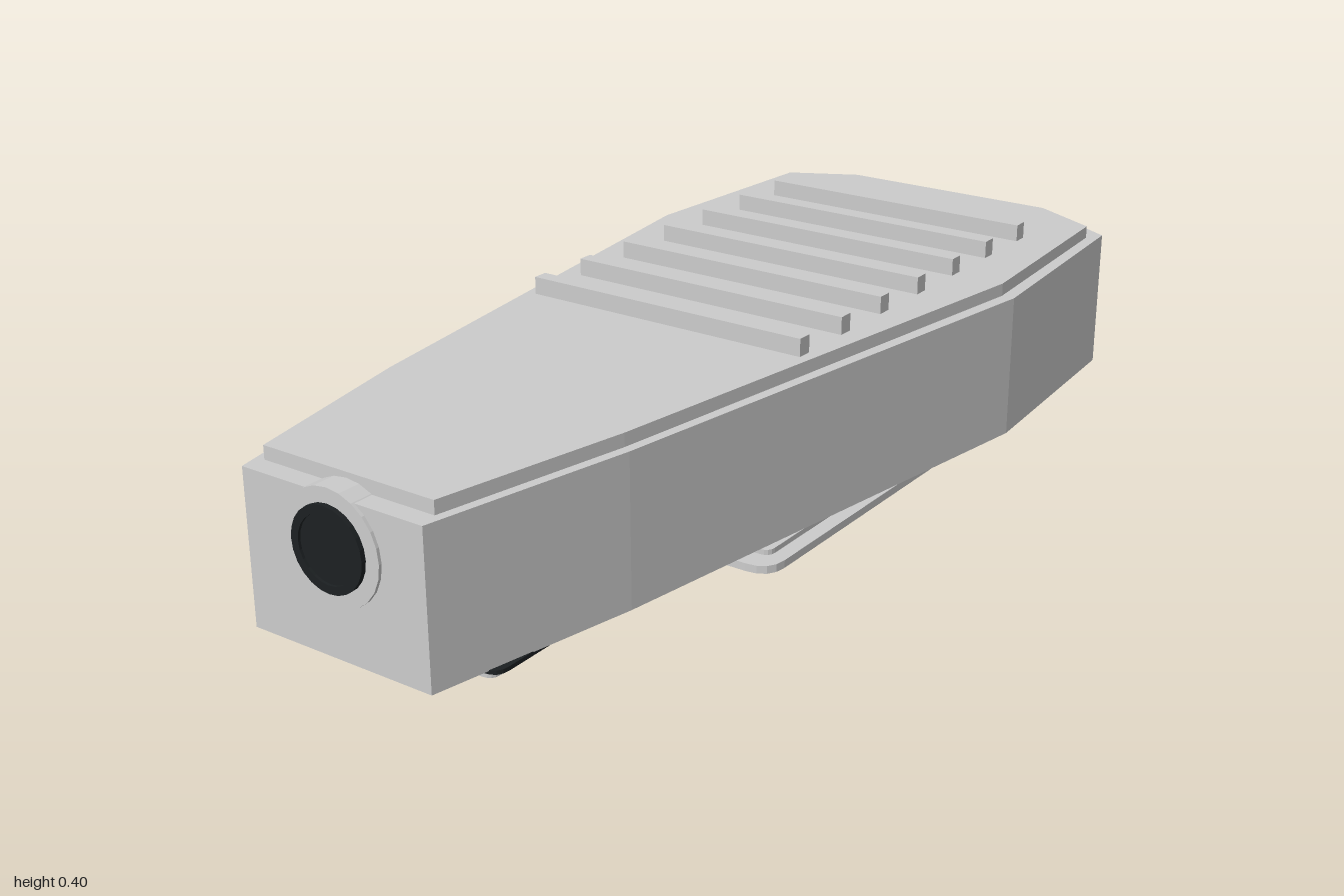
import * as THREE from 'three';

const grey = new THREE.MeshStandardMaterial({ color: 0xcccccc, flatShading: true });
const dark = new THREE.MeshStandardMaterial({ color: 0x1c2022, flatShading: true });

// Extrude a plan shape (x, z) upwards between two heights
function slab(shape, y0, y1) {
  const g = new THREE.ExtrudeGeometry(shape, { depth: y1 - y0, bevelEnabled: false, curveSegments: 4 });
  return g.rotateX(-Math.PI / 2).translate(0, y0, 0);
}

// Closed plan outline mirrored across z from one half, listed tail to nose
function mirrored(half) {
  const other = half.map(([x, z]) => [x, -z]).reverse();
  return new THREE.Shape([...other.reverse(), ...half.slice().reverse()].map(([x, z]) => new THREE.Vector2(x, z)));
}

function roundRect(x0, x1, hz, r, Type = THREE.Shape) {
  const s = new Type();
  s.moveTo(x0 + r, -hz);
  s.lineTo(x1 - r, -hz).quadraticCurveTo(x1, -hz, x1, -hz + r);
  s.lineTo(x1, hz - r).quadraticCurveTo(x1, hz, x1 - r, hz);
  s.lineTo(x0 + r, hz).quadraticCurveTo(x0, hz, x0, hz - r);
  s.lineTo(x0, -hz + r).quadraticCurveTo(x0, -hz, x0 + r, -hz);
  return s;
}

export function createModel() {
  const model = new THREE.Group();
  const add = (name, geometry, material = grey) => {
    const mesh = new THREE.Mesh(geometry, material);
    mesh.name = name;
    model.add(mesh);
    return mesh;
  };
  const box = (name, w, h, d, x, y, z, material) =>
    add(name, new THREE.BoxGeometry(w, h, d).translate(x, y, z), material);

  // Tapered housing and its inset lid
  const body = [[-0.985, 0.19], [-0.59, 0.272], [0.44, 0.43], [0.92, 0.395], [1, 0.25]];
  const lid = [[-0.947, 0.18], [-0.58, 0.255], [0.44, 0.404], [0.885, 0.374], [0.957, 0.236]];
  add('housing', slab(mirrored(body), 0.056, 0.34));
  add('lid', slab(mirrored(lid), 0.34, 0.365));

  // Grip ribs across the lid
  for (let i = 0; i < 7; i++) box('gripRib', 0.03, 0.035, 0.6, -0.115 + i * 0.139, 0.3815, 0);

  // Cable socket in the narrow end: flange, raised ring and bore
  const socketY = 0.253;
  const alongX = (g, x) => g.rotateZ(Math.PI / 2).translate(x, socketY, 0);
  add('socketFlange', alongX(new THREE.CylinderGeometry(0.102, 0.102, 0.05, 24), -0.966));
  const ring = [[0.06, -0.012], [0.075, -0.012], [0.075, 0.012], [0.06, 0.012], [0.06, -0.012]];
  add('socketRing', alongX(new THREE.LatheGeometry(ring.map(([r, y]) => new THREE.Vector2(r, y)), 24), -0.988), dark);
  add('socketBore', alongX(new THREE.CylinderGeometry(0.062, 0.062, 0.01, 24), -0.99), dark);

  // Large bottom tray: rounded frame around a recessed panel
  const frame = roundRect(-0.305, 0.95, 0.355, 0.05);
  frame.holes.push(roundRect(-0.25, 0.895, 0.325, 0.02, THREE.Path));
  add('trayFrame', slab(frame, 0.02, 0.035));
  add('trayPanel', slab(roundRect(-0.26, 0.9, 0.325, 0.02), 0.035, 0.045));

  // Pads below the four tray corners
  for (const x of [-0.238, 0.885])
    for (const z of [-0.32, 0.32]) box('pad', 0.018, 0.006, 0.018, x, 0.003, z, dark);

  // Small cover under the narrow end, its gasket, end lip and side clips
  add('gasket', slab(roundRect(-0.88, -0.3, 0.23, 0.03), 0.05, 0.0575), dark);
  add('smallCover', slab(roundRect(-0.87, -0.29, 0.21, 0.02), 0.035, 0.044));
  const lip = add('coverLip', new THREE.BoxGeometry(0.022, 0.004, 0.34));
  lip.position.set(-0.874, 0.045, 0);
  lip.rotation.z = -0.8;
  for (const z of [-0.242, 0.242]) box('sideClip', 0.12, 0.011, 0.022, -0.55, 0.0515, z);

  return model;
}
